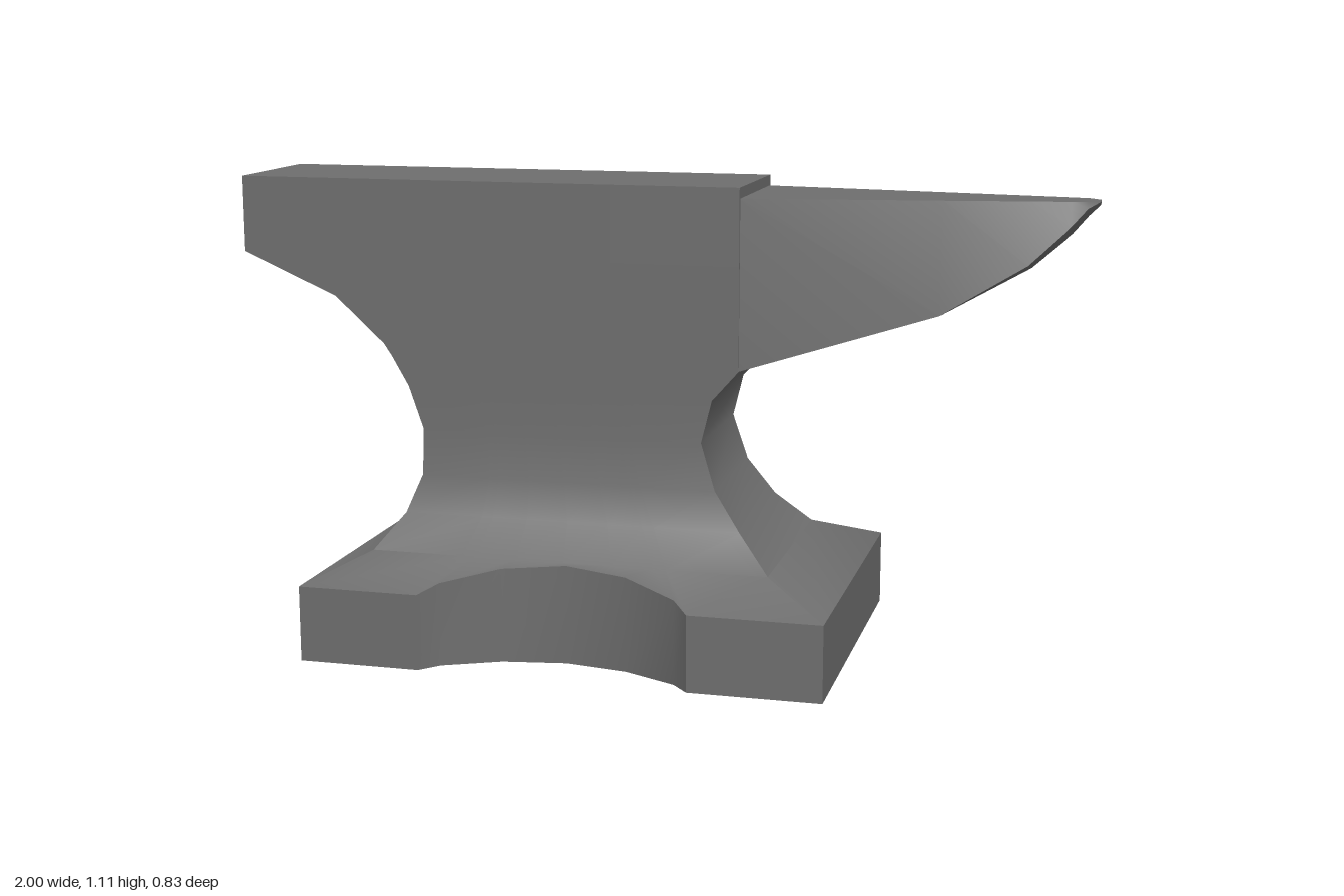
import * as THREE from 'three';
import { toCreasedNormals } from 'three/addons/utils/BufferGeometryUtils.js';

// Skin a list of equal-length rings of [x, y, z] points and cap both ends.
function loft(rings, crease) {
  const pos = [];
  const tri = (...pts) => pts.forEach((p) => pos.push(...p));
  const n = rings[0].length;
  const centre = (ring) => [0, 1, 2].map((k) => ring.reduce((s, p) => s + p[k], 0) / n);
  const first = rings[0], last = rings[rings.length - 1];
  const c0 = centre(first), c1 = centre(last);
  for (let j = 0; j < n; j++) {
    const k = (j + 1) % n;
    for (let i = 0; i + 1 < rings.length; i++) {
      const a = rings[i][j], b = rings[i][k], c = rings[i + 1][k], d = rings[i + 1][j];
      tri(a, b, c);
      tri(a, c, d);
    }
    tri(c0, first[k], first[j]);
    tri(c1, last[j], last[k]);
  }
  const geo = new THREE.BufferGeometry();
  geo.setAttribute('position', new THREE.Float32BufferAttribute(pos, 3));
  return toCreasedNormals(geo, crease);
}

// Mirror a front edge (left to right) to the back to close a ring.
const mirrorZ = (front) => [...front, ...front.map(([x, y, z]) => [x, y, -z]).reverse()];

export function createModel() {
  const group = new THREE.Group();
  const iron = new THREE.MeshStandardMaterial({ color: 0x6e6e6e });
  iron.name = 'iron grey';
  const add = (name, geo) => {
    const mesh = new THREE.Mesh(geo, iron);
    mesh.name = name;
    group.add(mesh);
  };

  // Foot outline with a scooped notch on each long side: [x, z]
  const outline = [
    [-0.78, 0.413], [-0.49, 0.413], [-0.45, 0.368], [-0.32, 0.305], [-0.17, 0.28],
    [-0.02, 0.305], [0.11, 0.368], [0.15, 0.413], [0.46, 0.413],
  ];
  // The rim rises where the notch cuts into the flare.
  const rimY = (z) => 0.18 + ((0.413 - z) / 0.143) * 0.06;
  const bottom = mirrorZ(outline.map(([x, z]) => [x, 0, z]));
  const rim = mirrorZ(outline.map(([x, z]) => [x, rimY(z), z]));
  add('foot', loft([bottom, rim], 0.6));

  // Flare, waist, heel and face: [y, left x, right x, half depth]
  const sections = [
    [0.24, -0.65, 0.305, 0.27], [0.32, -0.59, 0.225, 0.205], [0.41, -0.555, 0.16, 0.18],
    [0.52, -0.555, 0.125, 0.171], [0.62, -0.59, 0.15, 0.17], [0.69, -0.63, 0.212, 0.17],
    [0.72, -0.65, 0.212, 0.17], [0.83, -0.77, 0.212, 0.17], [0.93, -1, 0.212, 0.17],
    [1.11, -1, 0.212, 0.17],
  ];
  const rows = sections.map(([y, l, r, hz]) =>
    mirrorZ(outline.map(([x]) => [l + ((x + 0.78) / 1.24) * (r - l), y, hz])));
  add('body', loft([rim, ...rows], 0.65));

  // Horn: [x, lower edge y, keel y, top half width, lower half width]
  const top = 1.085;
  const horn = [
    [0.21, 0.69, 0.69, 0.162, 0.168], [0.66, 0.83, 0.822, 0.095, 0.128],
    [0.85, 0.945, 0.928, 0.064, 0.098], [0.94, 1.03, 1.008, 0.05, 0.066],
    [0.975, 1.07, 1.05, 0.042, 0.046], [1, 1.083, 1.075, 0.015, 0.016],
  ].map(([x, edge, keel, wt, wb]) => [
    [x, top, -wt], [x, top, wt], [x, edge, wb],
    [x, (edge + 3 * keel) / 4, wb / 2], [x, keel, 0], [x, (edge + 3 * keel) / 4, -wb / 2],
    [x, edge, -wb],
  ]);
  add('horn', loft(horn, 0.6));

  return group;
}
